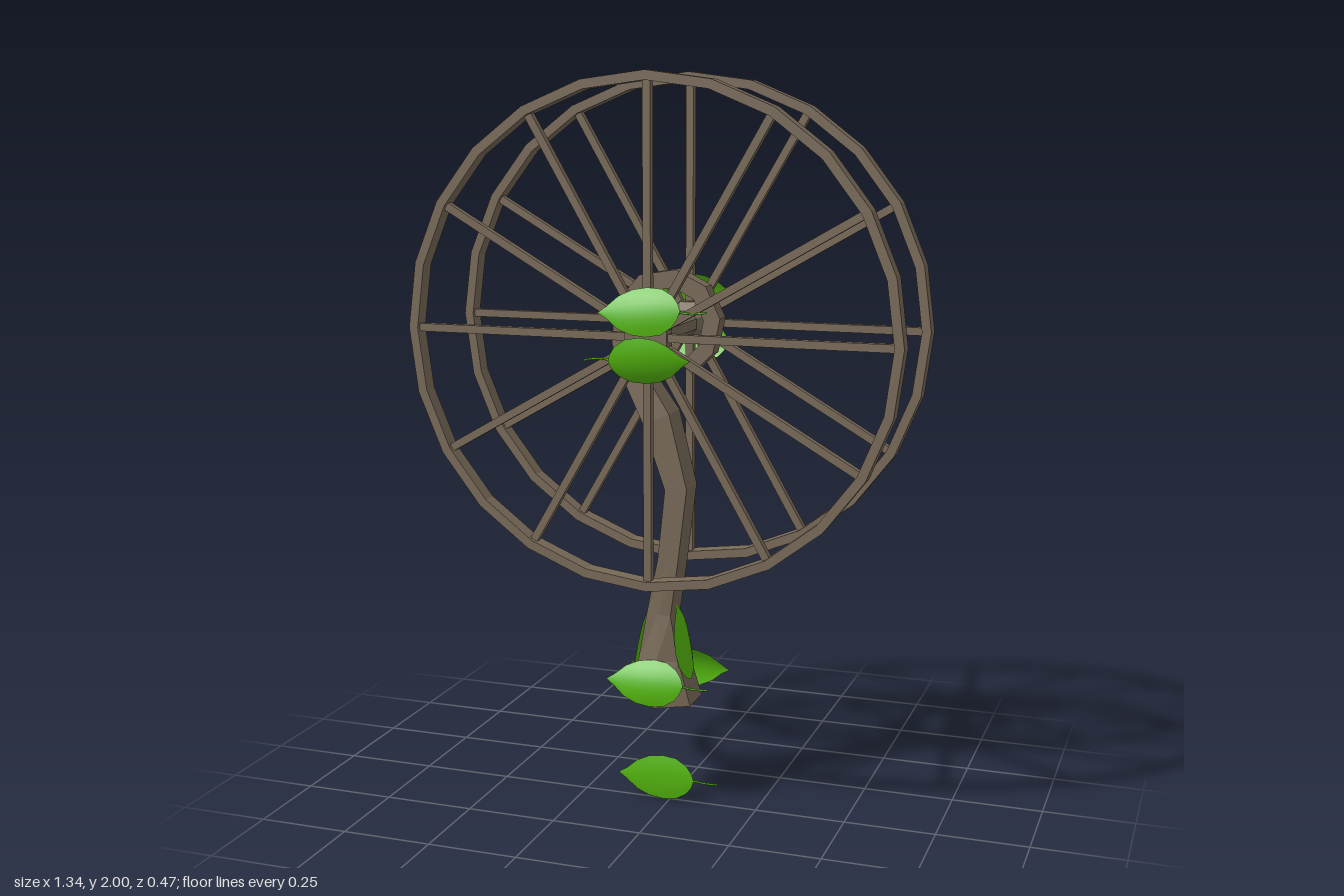
import * as THREE from 'three';

const bark = new THREE.MeshStandardMaterial({ color: 0x786a58 });
bark.name = 'bark brown';
const green = new THREE.MeshStandardMaterial({ color: 0x55b80f, side: THREE.DoubleSide });
green.name = 'leaf green';

const HUB_Y = 1.328;

function flat(geometry) {
  const g = geometry.index ? geometry.toNonIndexed() : geometry;
  g.computeVertexNormals();
  return g;
}

function mesh(name, geometry, material, parent) {
  const m = new THREE.Mesh(geometry, material);
  m.name = name;
  parent.add(m);
  return m;
}

// Sweep a six-point section along a path in the xy plane.
// Stations: [x, y, half thickness, half depth at the corners, half depth at the middle]
function sweep(stations) {
  const pos = [], idx = [], n = stations.length;
  stations.forEach(([x, y, a, b, c], i) => {
    const p = stations[Math.max(i - 1, 0)], q = stations[Math.min(i + 1, n - 1)];
    const t = new THREE.Vector2(q[0] - p[0], q[1] - p[1]).normalize();
    if (i === 0) t.set(0, 1);
    const section = [[a, b], [a, -b], [0, -c], [-a, -b], [-a, b], [0, c]];
    for (const [u, w] of section) pos.push(x + t.y * u, y - t.x * u, w);
  });
  for (let i = 0; i < n - 1; i++) {
    for (let j = 0; j < 6; j++) {
      const a = i * 6 + j, b = i * 6 + (j + 1) % 6;
      idx.push(a, b, b + 6, a, b + 6, a + 6);
    }
  }
  const e = (n - 1) * 6;
  for (let j = 1; j < 5; j++) idx.push(0, j + 1, j, e, e + j, e + j + 1);
  const g = new THREE.BufferGeometry();
  g.setAttribute('position', new THREE.Float32BufferAttribute(pos, 3));
  g.setIndex(idx);
  return flat(g);
}

// Leaf lying in the xy plane: tip at -x, stalk at +x, bulging toward +z
function makeLeaf(name, dome, parent) {
  const leaf = new THREE.Group();
  leaf.name = name;
  const outline = [[-0.15, 0], [-0.125, 0.016], [-0.095, 0.042], [-0.06, 0.058], [-0.02, 0.064],
    [0.02, 0.059], [0.05, 0.041], [0.066, 0.02], [0.073, 0]];
  const blade = new THREE.PlaneGeometry(1, 2, outline.length - 1, 6);
  const p = blade.attributes.position;
  for (let i = 0; i < p.count; i++) {
    const [x, half] = outline[Math.round((p.getX(i) + 0.5) * (outline.length - 1))];
    const v = p.getY(i), u = (x + 0.03) / 0.11;
    p.setXYZ(i, x, v * half, dome * (1 - 0.6 * u * u - v * v * half * half / 0.0041));
  }
  blade.computeVertexNormals();
  mesh('leafBlade', blade, green, leaf);
  const stalk = new THREE.CatmullRomCurve3([
    new THREE.Vector3(0.06, 0, 0), new THREE.Vector3(0.1, -0.005, -dome * 0.3), new THREE.Vector3(0.14, -0.003, 0)]);
  mesh('leafStalk', new THREE.TubeGeometry(stalk, 4, 0.003, 4), green, leaf);
  parent.add(leaf);
  return leaf;
}

// Rim with twelve spokes and a flared hub; front gives +1 or -1
function makeWheel(front) {
  const wheel = new THREE.Group();
  wheel.name = front > 0 ? 'frontWheel' : 'backWheel';
  const profile = [[0.672, -0.023], [0.672, 0.023], [0.647, 0.023], [0.647, -0.023], [0.672, -0.023]]
    .map(([r, y]) => new THREE.Vector2(r, y));
  mesh('rim', flat(new THREE.LatheGeometry(profile, 24).rotateX(Math.PI / 2)), bark, wheel);
  const spoke = new THREE.BoxGeometry(0.021, 0.625, 0.022).translate(0, 0.34, 0);
  for (let i = 0; i < 12; i++) mesh('spoke', spoke, bark, wheel).rotation.z = i * Math.PI / 6;
  const flare = flat(new THREE.CylinderGeometry(0.062, 0.035, 0.028, 8)
    .rotateY(Math.PI / 8).rotateX(front * Math.PI / 2));
  mesh('hubFlare', flare, bark, wheel).position.z = -front * 0.034;
  const cap = flat(new THREE.CylinderGeometry(0.062, 0.062, 0.043, 8)
    .rotateY(Math.PI / 8).rotateX(Math.PI / 2));
  mesh('hubCap', cap, bark, wheel);

  // Pair of overlapping leaves covering the hub
  const cover = new THREE.Group();
  cover.name = 'hubLeaves';
  const upper = makeLeaf('upperHubLeaf', 0.016, cover);
  upper.position.set(0.03, 0.07, 0.042);
  upper.rotation.set(-0.27, 0, 0.05);
  const lower = makeLeaf('lowerHubLeaf', 0.016, cover);
  lower.position.set(-0.02, -0.057, 0.042);
  lower.rotation.set(0.27, 0, Math.PI + 0.05, 'XYZ');
  cover.rotation.y = front > 0 ? 0 : Math.PI;
  wheel.add(cover);
  wheel.position.set(0, HUB_Y, front * 0.172);
  return wheel;
}

export function createModel() {
  const model = new THREE.Group();
  model.name = 'twinWheelTree';

  // Trunk: hexagonal foot, squared stem, then a hook curling round the axle
  mesh('trunk', sweep([
    [-0.012, 0.3, 0.088, 0.052, 0.1],
    [-0.018, 0.42, 0.058, 0.045, 0.066],
    [-0.018, 0.55, 0.034, 0.043, 0.046],
    [0.008, 0.7, 0.029, 0.043, 0.043],
    [0.031, 0.9, 0.031, 0.044, 0.044],
    [-0.025, 1.09, 0.04, 0.044, 0.044],
    [-0.09, 1.2, 0.032, 0.034, 0.034],
    [-0.13, 1.29, 0.026, 0.026, 0.026],
    [-0.125, 1.38, 0.026, 0.025, 0.025],
    [-0.065, 1.45, 0.025, 0.025, 0.025],
    [0.02, 1.465, 0.024, 0.025, 0.025],
    [0.09, 1.43, 0.024, 0.025, 0.025],
    [0.124, 1.36, 0.023, 0.025, 0.025],
    [0.108, 1.28, 0.022, 0.025, 0.025],
    [0.055, 1.228, 0.02, 0.025, 0.025],
  ]), bark, model);

  // Axle and wheels
  const axle = flat(new THREE.CylinderGeometry(0.036, 0.036, 0.32, 8)
    .rotateY(Math.PI / 8).rotateX(Math.PI / 2));
  mesh('axle', axle, bark, model).position.y = HUB_Y;
  model.add(makeWheel(1), makeWheel(-1));

  // Leaves wrapped round the foot: front, back and both sides
  for (const s of [1, -1]) {
    const side = s > 0 ? 'front' : 'back';
    const holder = new THREE.Group();
    holder.name = side + 'FootLeafHolder';
    const low = makeLeaf(side + 'FootLeaf', 0.018, holder);
    low.position.set(s * 0.01, 0.365, 0.083);
    low.rotation.x = -0.28;
    holder.rotation.y = s > 0 ? 0 : Math.PI;
    holder.position.x = -0.015;
    model.add(holder);

    const flank = new THREE.Group();
    flank.name = (s > 0 ? 'left' : 'right') + 'FootLeafHolder';
    const high = makeLeaf('sideFootLeaf', 0.012, flank);
    high.position.set(0, 0.43, 0.06);
    high.rotation.set(-0.2, 0, -Math.PI / 2);
    flank.rotation.y = s * Math.PI / 2;
    flank.position.x = -0.018;
    model.add(flank);
  }

  // Loose leaf below the trunk
  makeLeaf('fallenLeaf', 0.008, model).position.set(0, 0.066, 0.006);
  return model;
}
